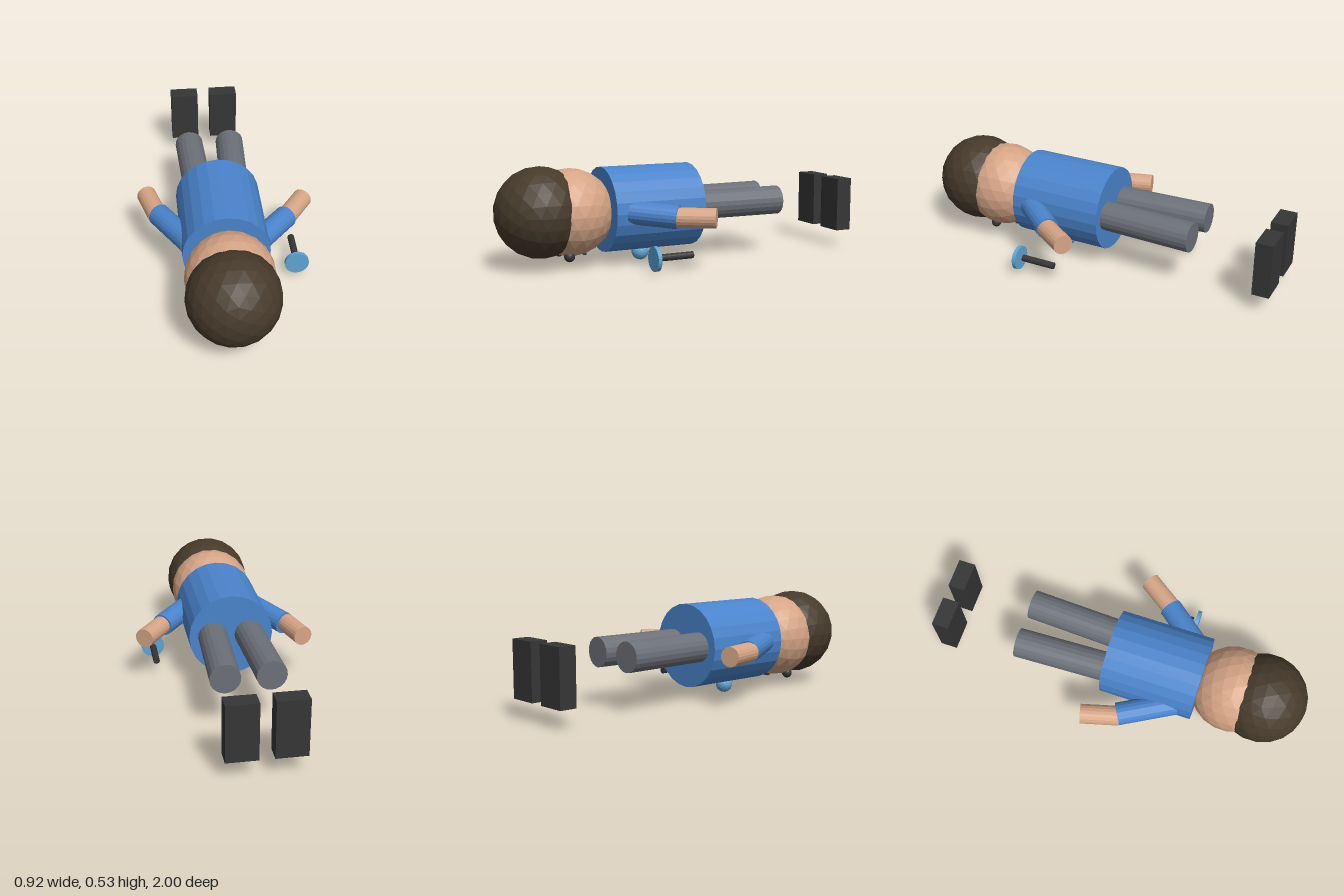
import * as THREE from 'three';

export function createModel() {
  const model = new THREE.Group();
  model.name = 'lyingFigure';

  const mat = (name, color) => {
    const m = new THREE.MeshStandardMaterial({ color, flatShading: true });
    m.name = name;
    return m;
  };
  const skin = mat('skin', 0xd6a586);
  const hairBrown = mat('hairBrown', 0x463a2b);
  const shirtBlue = mat('shirtBlue', 0x4a84cc);
  const trouserGrey = mat('trouserGrey', 0x6c7078);
  const dark = mat('darkGrey', 0x363636);
  const lightBlue = mat('lightBlue', 0x5fa5d3);

  const add = (name, geometry, material, x = 0, y = 0, z = 0) => {
    const mesh = new THREE.Mesh(geometry, material);
    mesh.name = name;
    mesh.position.set(x, y, z);
    model.add(mesh);
    return mesh;
  };
  const ball = (name, r, material, x, y, z, detail = 3) =>
    add(name, new THREE.IcosahedronGeometry(r, detail), material, x, y, z);
  // Closed cylinder between two points
  const limb = (name, a, b, r, material, sides = 20) => {
    const from = new THREE.Vector3(...a), to = new THREE.Vector3(...b);
    const dir = to.clone().sub(from);
    const mesh = add(name, new THREE.CylinderGeometry(r, r, dir.length(), sides), material);
    mesh.position.copy(from).add(to).multiplyScalar(0.5);
    mesh.quaternion.setFromUnitVectors(new THREE.Vector3(0, 1, 0), dir.normalize());
  };

  const cx = -0.033; // body centre line

  // Head and hair
  ball('head', 0.226, skin, cx, 0.283, 0.61);
  ball('hair', 0.234, hairBrown, cx, 0.292, 0.767);

  // Face, turned to the ground
  for (const [side, s] of [['left', 1], ['right', -1]])
    ball(side + 'Eye', 0.028, dark, cx + s * 0.08, 0.068, 0.643, 2);
  add('mouth', new THREE.BoxGeometry(0.065, 0.014, 0.014), dark, cx, 0.066, 0.54);

  // Torso and chest ball
  limb('torso', [cx, 0.285, 0.437], [cx, 0.285, -0.063], 0.222, shirtBlue, 24);
  ball('chestBall', 0.046, lightBlue, cx, 0.046, 0.218, 2);

  // Arms
  limb('leftUpperArm', [0.148, 0.288, 0.345], [0.307, 0.272, 0.156], 0.06, shirtBlue);
  limb('leftForearm', [0.305, 0.272, 0.165], [0.42, 0.272, 0.002], 0.0515, skin);
  limb('rightUpperArm', [-0.207, 0.288, 0.342], [-0.354, 0.271, 0.071], 0.06, shirtBlue);
  limb('rightForearm', [-0.36, 0.272, 0.085], [-0.413, 0.272, -0.111], 0.0515, skin);

  // Legs, with the shoes set apart from them
  for (const [side, s] of [['left', 1], ['right', -1]]) {
    limb(side + 'Leg', [cx + s * 0.096, 0.287, -0.03], [cx + s * 0.116, 0.287, -0.556], 0.078, trouserGrey);
    add(side + 'Shoe', new THREE.BoxGeometry(0.158, 0.292, 0.09), dark, cx + s * 0.116, 0.243, -0.955);
  }

  // Loose disc with its handle
  limb('disc', [0.35, 0.082, 0.297], [0.35, 0.082, 0.317], 0.063, lightBlue, 32);
  limb('discHandle', [0.35, 0.085, 0.1], [0.35, 0.085, 0.283], 0.018, dark, 16);

  return model;
}
